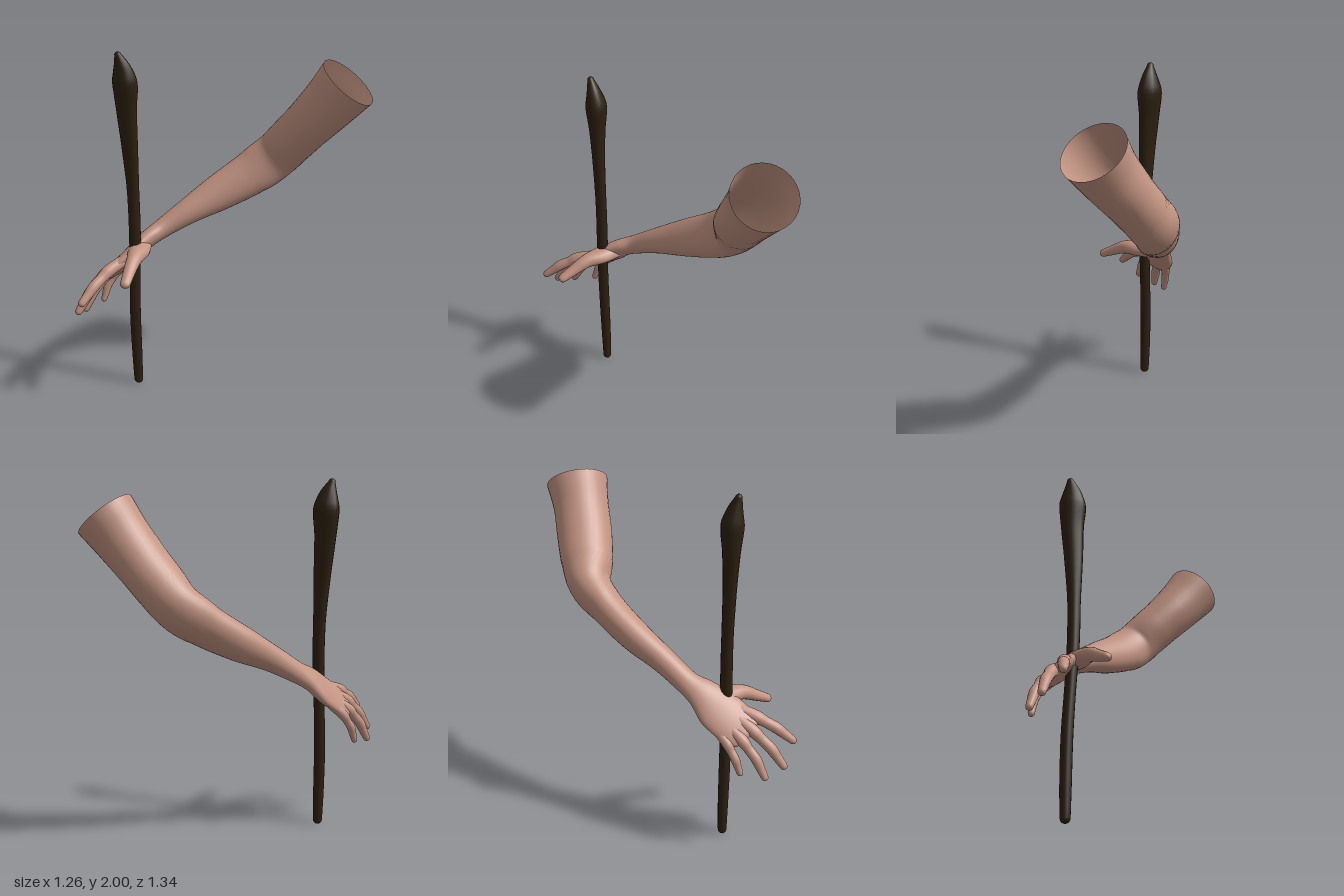
import * as THREE from 'three';

const skin = new THREE.MeshStandardMaterial({ color: 0xc39483, side: THREE.DoubleSide });
skin.name = 'skin';
const wood = new THREE.MeshStandardMaterial({ color: 0x2c2110 });
wood.name = 'dark wood';

const UP = new THREE.Vector3(0, 1, 0);
const FRONT = new THREE.Vector3(0, 0, 1);

// Smooth tube through stations [x, y, z, radiusA, radiusB, twistDegrees]
function loft(name, stations, material, { sides = 16, steps = 5, up = UP, capStart = true, capEnd = true } = {}) {
  const path = new THREE.CatmullRomCurve3(stations.map(s => new THREE.Vector3(s[0], s[1], s[2])));
  const size = new THREE.CatmullRomCurve3(
    stations.map(s => new THREE.Vector3(s[3], s[4] ?? s[3], (s[5] ?? 0) / 100)));
  const rings = [];
  const addRing = (t, shift = 0, scale = 1) => {
    const d = path.getTangent(t);
    const c = path.getPoint(t).addScaledVector(d, shift);
    const q = size.getPoint(t);
    const h = d.clone().cross(up).normalize();
    const v = h.clone().cross(d);
    const tw = THREE.MathUtils.degToRad(q.z * 100);
    const A = h.clone().multiplyScalar(Math.cos(tw)).addScaledVector(v, Math.sin(tw)).multiplyScalar(q.x * scale);
    const B = v.clone().multiplyScalar(Math.cos(tw)).addScaledVector(h, -Math.sin(tw)).multiplyScalar(q.y * scale);
    rings.push({ c, A, B });
  };
  // Rounded ends
  const cap = (t, sign, angles) => {
    const q = size.getPoint(t);
    const r = Math.min(q.x, q.y);
    angles.forEach(a => addRing(t, sign * r * Math.sin(a), Math.max(Math.cos(a), 0.002)));
  };
  const angles = [0.45, 0.9, 1.25, Math.PI / 2];
  if (capStart) cap(0, -1, [...angles].reverse());
  const n = (stations.length - 1) * steps;
  for (let i = 0; i <= n; i++) addRing(i / n);
  if (capEnd) cap(1, 1, angles);

  const pos = [], index = [];
  rings.forEach(({ c, A, B }, i) => {
    for (let j = 0; j < sides; j++) {
      const a = (j / sides) * Math.PI * 2;
      const p = c.clone().addScaledVector(A, Math.cos(a)).addScaledVector(B, Math.sin(a));
      pos.push(p.x, p.y, p.z);
      if (i === rings.length - 1) continue;
      const k = (j + 1) % sides, r0 = i * sides, r1 = r0 + sides;
      index.push(r0 + j, r1 + j, r0 + k, r0 + k, r1 + j, r1 + k);
    }
  });
  const geo = new THREE.BufferGeometry();
  geo.setAttribute('position', new THREE.Float32BufferAttribute(pos, 3));
  geo.setIndex(index);
  geo.computeVertexNormals();
  const mesh = new THREE.Mesh(geo, material);
  mesh.name = name;
  return mesh;
}

export function createModel() {
  const model = new THREE.Group();
  model.name = 'armWithStaff';

  // Palm, wrist, forearm, elbow and upper arm in one skin, open at the shoulder
  const arm = loft('arm', [
    [-0.508, 0.725, 0.385, 0.10, 0.028, 37],
    [-0.485, 0.755, 0.345, 0.122, 0.036, 37],
    [-0.435, 0.83, 0.245, 0.122, 0.046, 37],
    [-0.395, 0.9, 0.165, 0.09, 0.05, 37],
    [-0.352, 0.95, 0.085, 0.066, 0.056, 38],
    [-0.26, 1.04, -0.04, 0.07, 0.076, 39],
    [-0.15, 1.135, -0.19, 0.086, 0.108, 39],
    [-0.02, 1.245, -0.335, 0.096, 0.13, 38],
    [0.08, 1.345, -0.432, 0.118, 0.137, 28],
    [0.18, 1.455, -0.45, 0.146, 0.138, 5],
    [0.295, 1.58, -0.465, 0.155, 0.144, 0],
    [0.4, 1.7, -0.483, 0.156, 0.156, 0],
    [0.49, 1.815, -0.505, 0.173, 0.172, 0],
  ], skin, { sides: 32, capEnd: false });

  // Fingers run from inside the palm over the knuckle and middle joint to the tip
  const hand = new THREE.Group();
  hand.name = 'fingers';
  const fingers = {
    indexFinger: [[-0.42, 0.82, 0.36], [-0.445, 0.785, 0.45], [-0.46, 0.725, 0.555], [-0.47, 0.652, 0.645], 0.033],
    middleFinger: [[-0.46, 0.79, 0.34], [-0.505, 0.735, 0.425], [-0.54, 0.645, 0.52], [-0.562, 0.55, 0.587], 0.032],
    ringFinger: [[-0.49, 0.76, 0.29], [-0.545, 0.70, 0.365], [-0.585, 0.61, 0.435], [-0.61, 0.512, 0.482], 0.03],
    littleFinger: [[-0.50, 0.75, 0.23], [-0.55, 0.685, 0.285], [-0.58, 0.61, 0.325], [-0.59, 0.53, 0.352], 0.026],
  };
  for (const [name, [root, knuckle, joint, tip, r]] of Object.entries(fingers)) {
    const mid = (a, b) => a.map((v, i) => (v + b[i]) / 2);
    hand.add(loft(name, [
      [...root, r],
      [...knuckle, r * 1.08],
      [...mid(knuckle, joint), r * 0.9],
      [...joint, r * 0.93],
      [...mid(joint, tip), r * 0.8],
      [...tip, r * 0.66],
    ], skin));
  }
  hand.add(loft('thumb', [
    [-0.40, 0.88, 0.2, 0.05, 0.045],
    [-0.355, 0.875, 0.29, 0.062, 0.045],
    [-0.31, 0.865, 0.385, 0.042, 0.04],
    [-0.275, 0.825, 0.465, 0.034, 0.031],
    [-0.245, 0.79, 0.53, 0.029, 0.024],
  ], skin));

  // Slightly crooked staff with a swollen, pointed head
  const staff = loft('staff', [
    [-0.397, 0.025, 0.288, 0.027, 0.025],
    [-0.4, 0.2, 0.288, 0.031, 0.029],
    [-0.401, 0.45, 0.29, 0.032, 0.031],
    [-0.393, 0.7, 0.291, 0.031, 0.031],
    [-0.384, 0.95, 0.288, 0.034, 0.033],
    [-0.386, 1.2, 0.286, 0.036, 0.032],
    [-0.398, 1.5, 0.289, 0.053, 0.036],
    [-0.41, 1.7, 0.29, 0.065, 0.046],
    [-0.412, 1.83, 0.291, 0.076, 0.059],
    [-0.418, 1.91, 0.3, 0.055, 0.042],
    [-0.432, 1.982, 0.315, 0.02, 0.018],
  ], wood, { up: FRONT, sides: 14, steps: 4 });

  model.add(arm, hand, staff);
  return model;
}
